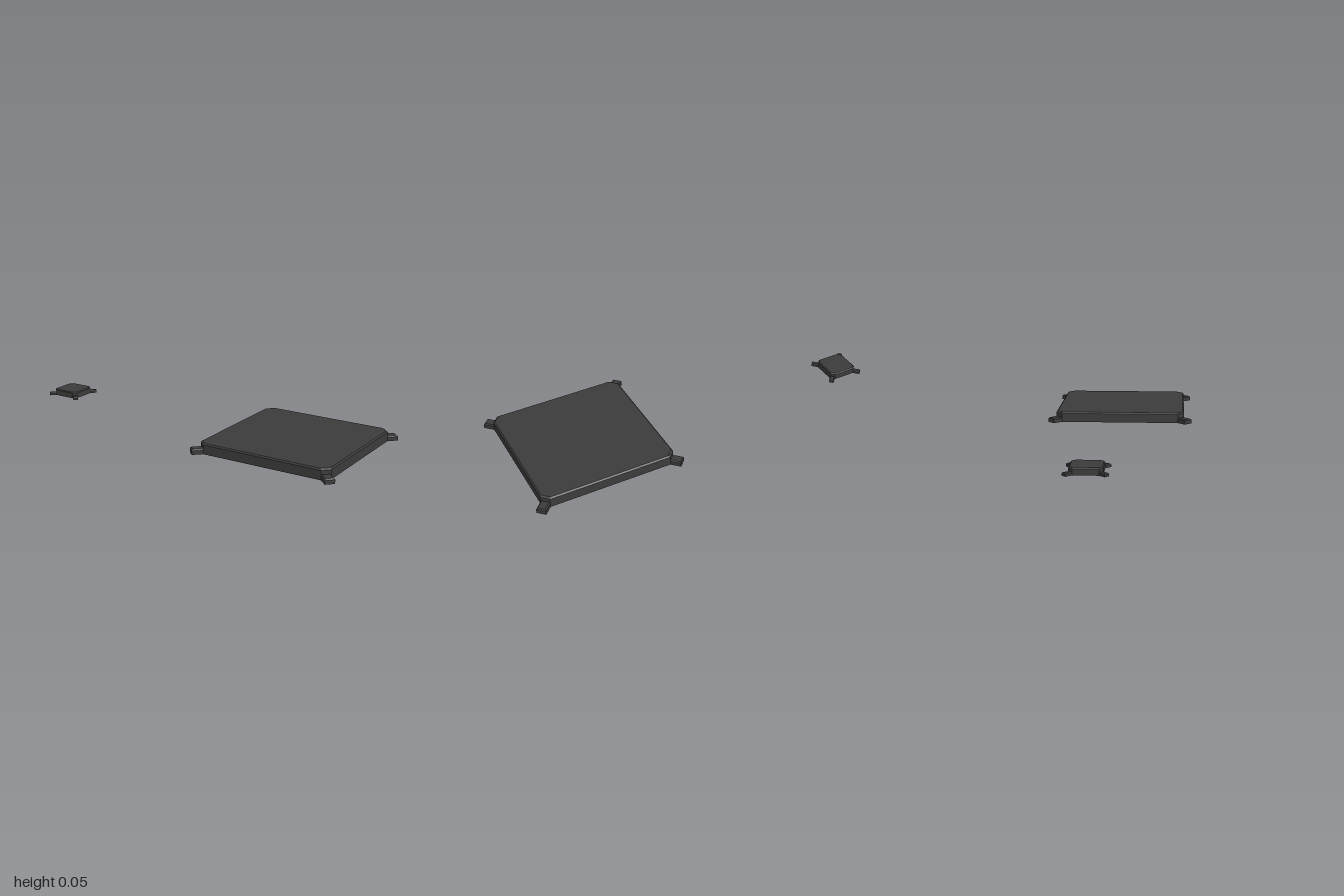
import * as THREE from 'three';

const charcoal = new THREE.MeshStandardMaterial({ color: 0x3c3c3c, side: THREE.DoubleSide });
charcoal.name = 'charcoal';

// Skin stacked rings of [x, y, z] points, capping the top and optionally the bottom
function loft(rings, closeBottom) {
  const pos = [];
  const n = rings[0].length;
  const tri = (...points) => points.forEach((p) => pos.push(...p));
  for (let r = 0; r < rings.length - 1; r++) {
    for (let i = 0; i < n; i++) {
      const j = (i + 1) % n;
      const [a, b] = [rings[r], rings[r + 1]];
      tri(a[i], b[i], b[j]);
      tri(a[i], b[j], a[j]);
    }
  }
  const top = rings[rings.length - 1];
  for (let i = 1; i < n - 1; i++) {
    tri(top[0], top[i + 1], top[i]);
    if (closeBottom) tri(rings[0][0], rings[0][i], rings[0][i + 1]);
  }
  const geometry = new THREE.BufferGeometry();
  geometry.setAttribute('position', new THREE.Float32BufferAttribute(pos, 3));
  geometry.computeVertexNormals();
  return geometry;
}

// Square with cut corners
function octagon(h, c, y) {
  const k = h - c;
  return [[h, -k], [h, k], [k, h], [-k, h], [-h, k], [-h, -k], [-k, -h], [k, -h]]
    .map(([x, z]) => [x, y, z]);
}

function rectangle(inner, outer, w, y) {
  return [[outer, y, -w], [outer, y, w], [inner, y, w], [inner, y, -w]];
}

// Open-bottomed lid with a foot tab on each cut corner
function makeLid(name, { half, cut, height, bevel, reach, tabHeight }) {
  const lid = new THREE.Group();
  lid.name = name;

  const shell = new THREE.Mesh(loft([
    octagon(half, cut, 0),
    octagon(half, cut, height - bevel),
    octagon(half - bevel, cut, height),
  ], false), charcoal);
  shell.name = 'shell';
  lid.add(shell);

  // Tab is as wide as the cut corner and runs out along the diagonal
  const w = cut * Math.SQRT1_2;
  const inner = (half - cut / 2) * Math.SQRT2;
  const outer = reach * Math.SQRT2 - w;
  const b = bevel * 0.8;
  const tabGeometry = loft([
    rectangle(inner, outer, w, 0),
    rectangle(inner, outer, w, tabHeight - b),
    rectangle(inner, outer - b, w - b, tabHeight),
  ], true);
  for (let i = 0; i < 4; i++) {
    const tab = new THREE.Mesh(tabGeometry, charcoal);
    tab.name = 'cornerTab';
    tab.rotation.y = Math.PI / 4 + i * Math.PI / 2;
    lid.add(tab);
  }
  return lid;
}

export function createModel() {
  const model = new THREE.Group();
  model.name = 'cornerTabLids';

  const large = makeLid('largeLid', {
    half: 0.355, cut: 0.035, height: 0.055, bevel: 0.007, reach: 0.395, tabHeight: 0.027,
  });
  large.position.set(0.605, 0, 0);

  const small = makeLid('smallLid', {
    half: 0.078, cut: 0.018, height: 0.035, bevel: 0.005, reach: 0.104, tabHeight: 0.016,
  });
  small.position.set(-0.896, 0.009, -0.085);

  model.add(large, small);
  return model;
}
